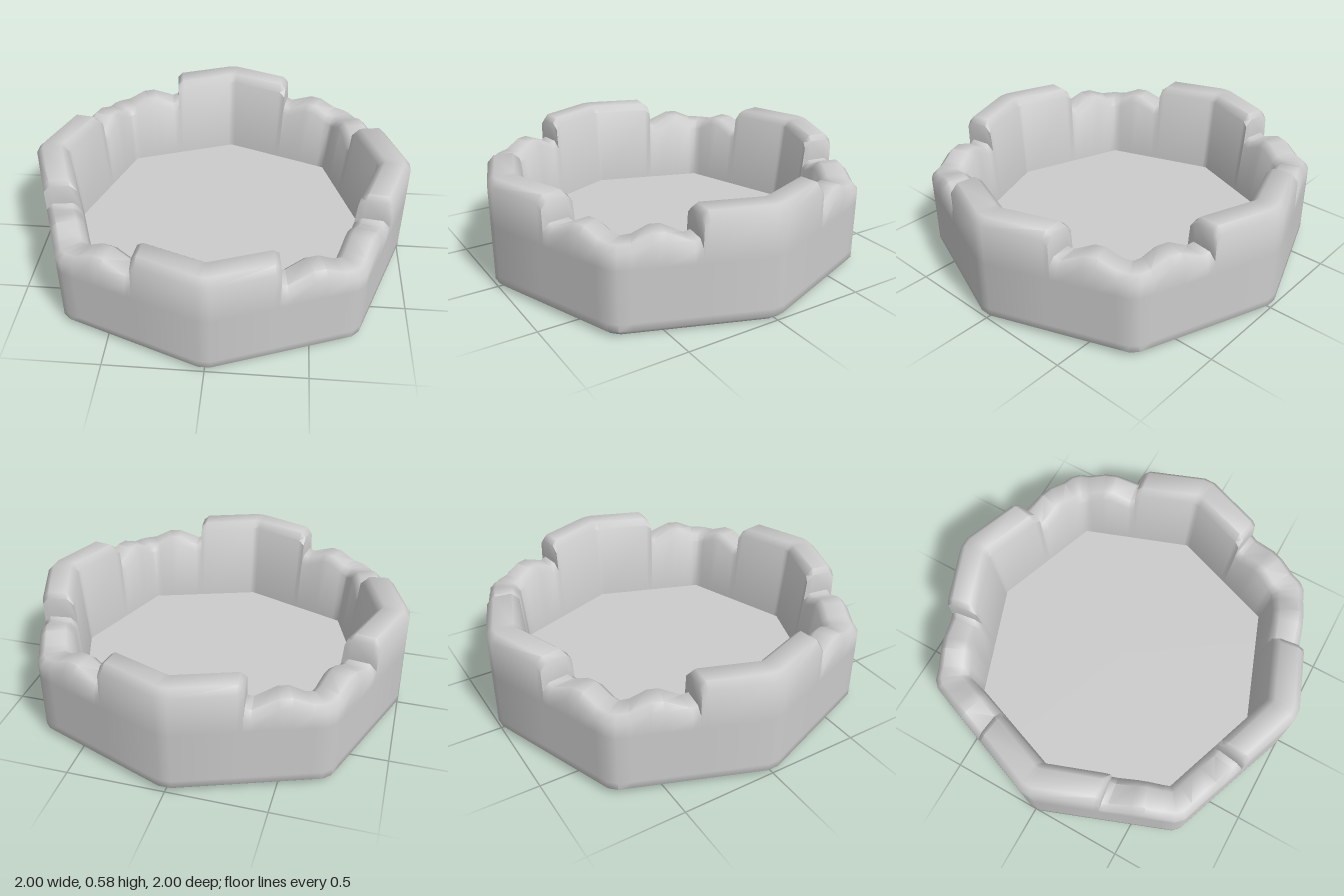
import * as THREE from 'three';
import { toCreasedNormals } from 'three/addons/utils/BufferGeometryUtils.js';

const FLOOR = 0.11, TOP = 0.585, BEVEL = 0.035;

// Rim stations over one eighth of the ring: outer x, inner x, rim height
const EIGHTH = [
  [0, 0, TOP], [0.03, 0.02, TOP], [0.32, 0.295, TOP],
  [0.345, 0.325, 0.56], [0.348, 0.328, 0.45], [0.38, 0.36, 0.44],
  [0.5, 0.455, 0.495], [0.56, 0.505, 0.495], [0.65, 0.575, 0.455], [0.71, 0.614, 0.45],
];

// All stations around the octagon: mirror the eighth, then turn it four times
function ringStations() {
  const eighth = EIGHTH.map(([xo, xi, h]) => ({
    out: [xo, 1 - Math.max(0, xo - 0.03) * 0.375],
    inn: [xi, 0.835 - 0.36 * xi],
    h,
  }));
  const swap = ([x, z]) => [z, x];
  const mirrored = eighth.slice(1).reverse().map((s) => ({ out: swap(s.out), inn: swap(s.inn), h: s.h }));
  const quarter = [...eighth, ...mirrored];
  const ring = [];
  for (let q = 0; q < 4; q++) {
    const c = Math.round(Math.cos(q * Math.PI / 2)), s = Math.round(Math.sin(q * Math.PI / 2));
    const turn = ([x, z]) => [x * c + z * s, z * c - x * s];
    for (const st of quarter) ring.push({ out: turn(st.out), inn: turn(st.inn), h: st.h });
  }
  return ring;
}

// Cross-section of the bowl at one station, from underside centre to floor edge
function wallSection({ out, inn, h }) {
  const at = ([x, z], scale, y) => [x * scale, y, z * scale];
  const taper = (y) => 0.95 + 0.05 * (y - FLOOR) / (TOP - FLOOR);
  const across = (t) => [0, 1].map((i) => out[i] + (inn[i] * taper(h) - out[i]) * t);
  return [
    [0, 0, 0],
    at(out, 0.93, 0),
    at(out, 0.965, 0),
    at(out, 1, 0.032),
    at(out, 1, 0.07),
    at(out, 1, 0.34),
    at(out, 1, h - BEVEL),
    at(across(0.2), 1, h),
    at(across(0.8), 1, h),
    at(inn, taper(h - BEVEL), h - BEVEL),
    at(inn, 0.95, FLOOR),
  ];
}

// Joins closed rings of cross-sections into a surface, skipping empty triangles
function loft(sections) {
  const pos = [];
  const same = (a, b) => a.every((v, i) => Math.abs(v - b[i]) < 1e-6);
  const tri = (a, b, c) => {
    if (!same(a, b) && !same(b, c) && !same(a, c)) pos.push(...a, ...b, ...c);
  };
  sections.forEach((s, i) => {
    const n = sections[(i + 1) % sections.length];
    for (let j = 0; j < s.length - 1; j++) {
      tri(s[j], n[j], n[j + 1]);
      tri(s[j], n[j + 1], s[j + 1]);
    }
  });
  const geo = new THREE.BufferGeometry();
  geo.setAttribute('position', new THREE.Float32BufferAttribute(pos, 3));
  return toCreasedNormals(geo, THREE.MathUtils.degToRad(52));
}

export function createModel() {
  const group = new THREE.Group();
  group.name = 'notchedOctagonalBowl';
  const material = new THREE.MeshStandardMaterial({ color: 0xcccccc });
  const ring = ringStations();

  // Bevelled wall with raised blocks, jagged gaps and a closed underside
  const wall = new THREE.Mesh(loft(ring.map(wallSection)), material);
  wall.name = 'notchedWall';

  // Flat floor inside the wall
  const floor = new THREE.Mesh(
    loft(ring.map(({ inn: [x, z] }) => [[x * 0.95, FLOOR, z * 0.95], [0, FLOOR, 0]])), material);
  floor.name = 'floor';

  group.add(wall, floor);
  return group;
}
